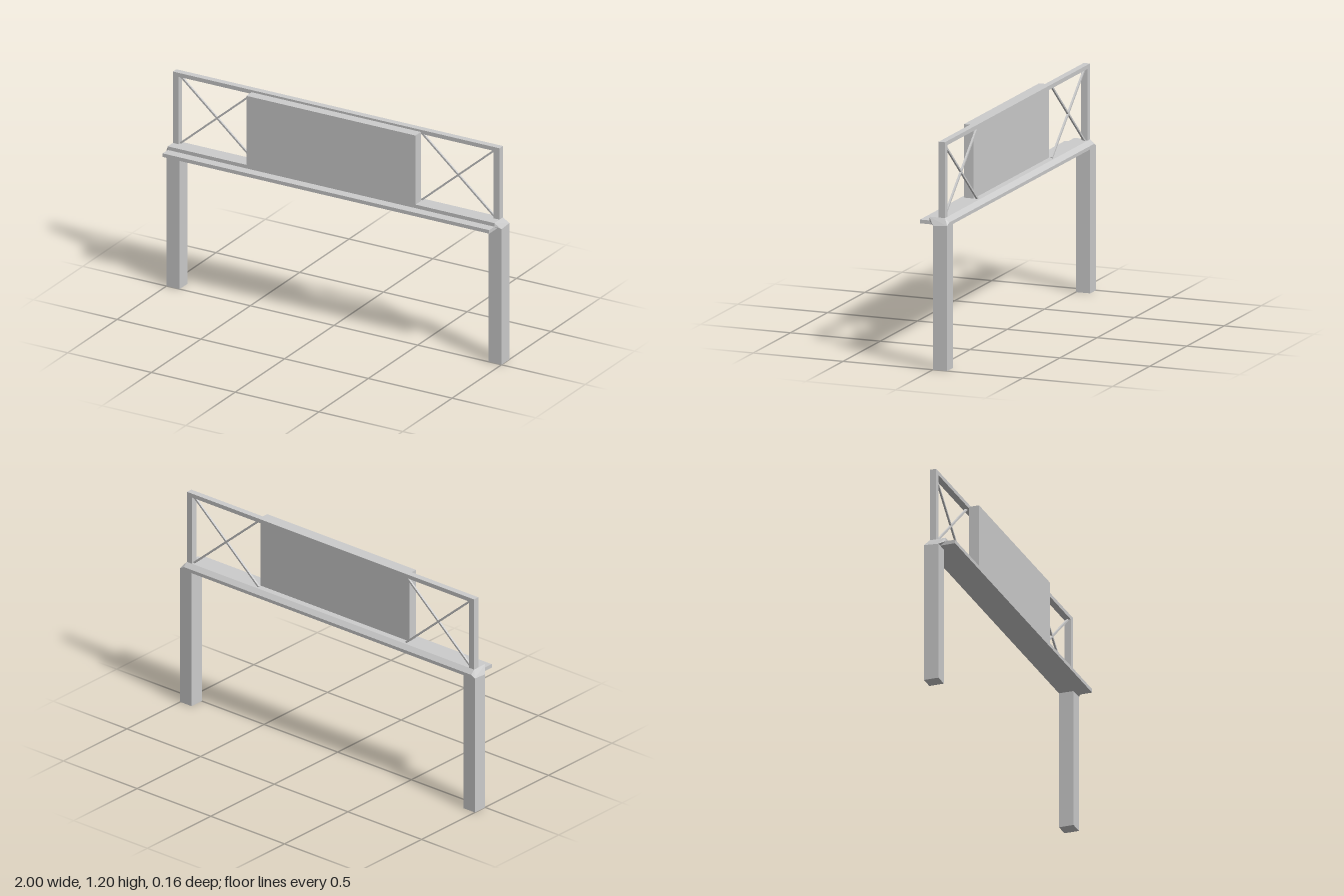
import * as THREE from 'three';
import { ConvexGeometry } from 'three/addons/geometries/ConvexGeometry.js';

export function createModel() {
  const group = new THREE.Group();
  const material = new THREE.MeshStandardMaterial({ color: 0xcccccc, flatShading: true });

  const add = (name, geometry) => {
    const mesh = new THREE.Mesh(geometry, material);
    mesh.name = name;
    group.add(mesh);
    return mesh;
  };
  // Box given by its minimum and maximum on each axis
  const block = (name, x0, x1, y0, y1, z0, z1) =>
    add(name, new THREE.BoxGeometry(x1 - x0, y1 - y0, z1 - z0)
      .translate((x0 + x1) / 2, (y0 + y1) / 2, (z0 + z1) / 2));

  // Long beam: front ledge, raised step and chamfered back edge
  const profile = new THREE.Shape([
    [0.082, 0.76], [0.082, 0.78], [0.03, 0.78], [0.03, 0.8],
    [-0.057, 0.8], [-0.08, 0.778], [-0.08, 0.76],
  ].map(([z, y]) => new THREE.Vector2(-z, y)));
  const beam = new THREE.ExtrudeGeometry(profile, { depth: 1.95, bevelEnabled: false });
  beam.translate(0, 0, -0.975).rotateY(Math.PI / 2);
  add('beam', beam);

  // Central panel and the open frame behind it
  block('panel', -0.505, 0.505, 0.8, 1.188, -0.022, 0.032);
  block('topRail', -0.975, 0.975, 1.178, 1.2, -0.057, -0.022);

  for (const side of [1, -1]) {
    const label = side > 0 ? 'left' : 'right';
    const mirrored = (a, b) => (side > 0 ? [a, b] : [-b, -a]);

    block(label + 'Leg', ...mirrored(0.922, 1), 0, 0.76, -0.08, 0);
    block(label + 'Post', ...mirrored(0.94, 0.975), 0.8, 1.178, -0.057, -0.022);

    // Sloped shoulder from the leg top to the end of the beam
    const corners = [];
    for (const x of [0.922, 1]) for (const z of [-0.08, 0]) corners.push([x, 0.76, z]);
    corners.push([1, 0.765, -0.08], [0.975, 0.778, -0.08]);
    for (const x of [0.922, 0.975]) {
      corners.push([x, 0.8, -0.057], [x, 0.8, 0.03], [x, 0.78, 0.03]);
    }
    add(label + 'Shoulder', new ConvexGeometry(
      corners.map(([x, y, z]) => new THREE.Vector3(side * x, y, z))));

    // Crossed braces in the open bay
    const dx = 0.44, dy = 0.378;
    for (const slope of [1, -1]) {
      const brace = add(label + 'Brace', new THREE.BoxGeometry(Math.hypot(dx, dy), 0.01, 0.01));
      brace.position.set(side * 0.72, 0.989, -0.04);
      brace.rotation.z = slope * Math.atan2(dy, dx);
    }
  }
  return group;
}
